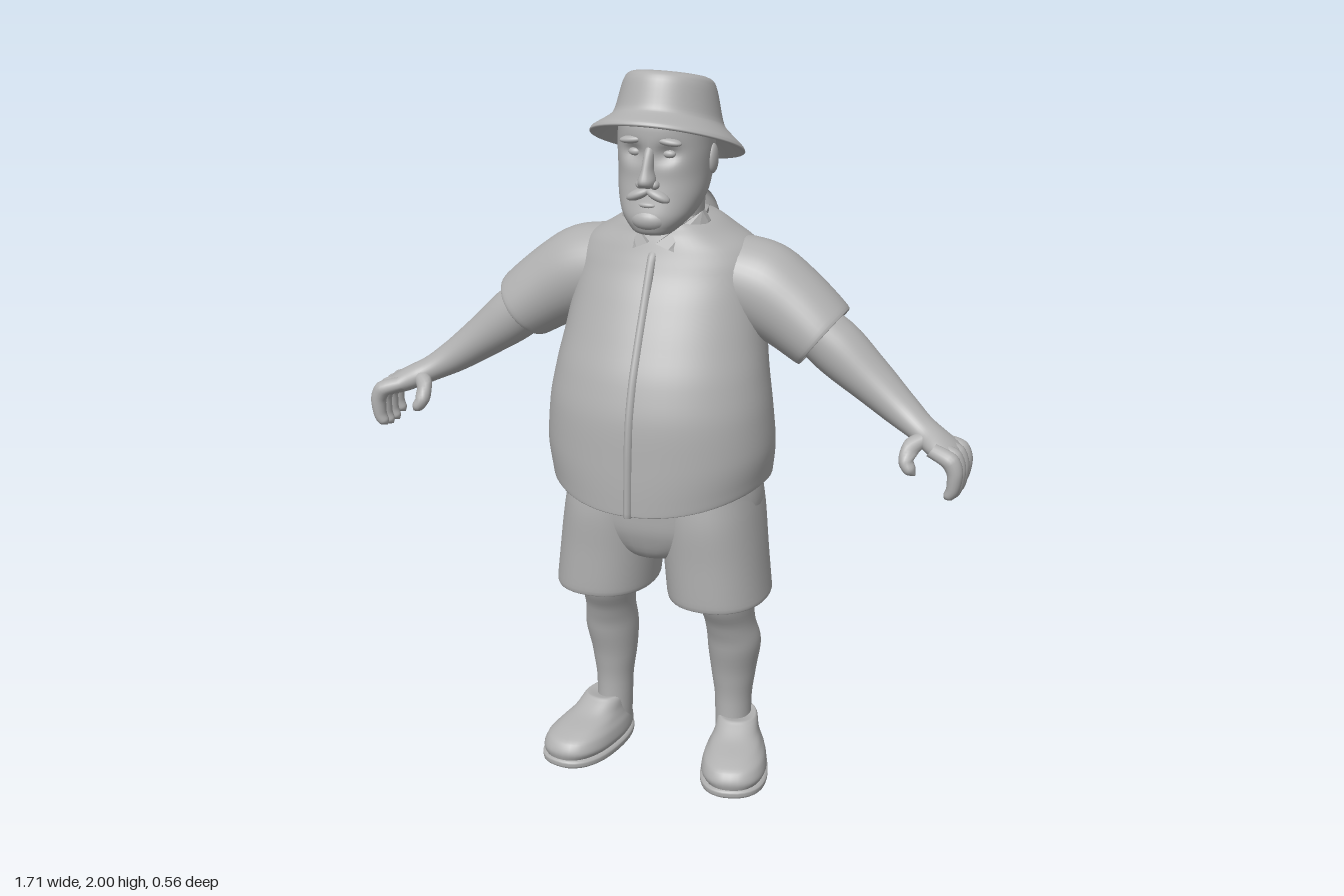
import * as THREE from 'three';

const D = Math.PI / 180;

// Monotone interpolation keeps lofted profiles smooth without overshoot
function sample(rows, k, i, t) {
  const v = j => rows[Math.min(Math.max(j, 0), rows.length - 1)][k];
  const slope = j => {
    const a = v(j) - v(j - 1), b = v(j + 1) - v(j);
    return a * b > 0 ? 2 * a * b / (a + b) : 0;
  };
  const a = v(i), b = v(i + 1), t2 = t * t, t3 = t2 * t;
  return a * (2 * t3 - 3 * t2 + 1) + b * (3 * t2 - 2 * t3) + slope(i) * (t3 - 2 * t2 + t) + slope(i + 1) * (t3 - t2);
}

// Skin over rings [x, y, z, halfWidth, halfDepth, heading = 90, tilt = 0], angles in degrees
function loft(list, { seg = 40, steps = 5, n = 2, warp } = {}) {
  const rows = list.map(r => [...r, ...[90, 0].slice(Math.max(0, r.length - 5))]);
  const pos = [], idx = [], p = new THREE.Vector3();
  const count = (rows.length - 1) * steps;
  const pw = c => Math.sign(c) * Math.abs(c) ** (2 / n);
  for (let r = 0; r <= count; r++) {
    const i = Math.min(Math.floor(r / steps), rows.length - 2), t = r / steps - i;
    const [x, y, z, w, d, h, s] = [0, 1, 2, 3, 4, 5, 6].map(k => sample(rows, k, i, t));
    for (let j = 0; j < seg; j++) {
      const a = j / seg * Math.PI * 2, u = w * pw(Math.cos(a)), v = d * pw(Math.sin(a));
      p.set(x + u * Math.sin(h * D), y - u * Math.cos(h * D) + v * Math.sin(s * D), z + v * Math.cos(s * D));
      if (warp) warp(p);
      pos.push(p.x, p.y, p.z);
      if (r < count) {
        const A = r * seg + j, B = r * seg + (j + 1) % seg;
        idx.push(A, A + seg, B, B, A + seg, B + seg);
      }
    }
  }
  const g = new THREE.BufferGeometry();
  g.setAttribute('position', new THREE.Float32BufferAttribute(pos, 3));
  g.setIndex(idx);
  g.computeVertexNormals();
  return g;
}

function mirrored(geo) {
  const g = geo.index ? geo.toNonIndexed() : geo.clone();
  for (const name of ['position', 'normal']) {
    const a = g.attributes[name];
    for (let i = 0; i < a.count; i += 3) {
      const v = [0, 2, 1].map(k => [-a.getX(i + k), a.getY(i + k), a.getZ(i + k)]);
      v.forEach((q, k) => a.setXYZ(i + k, ...q));
    }
  }
  return g;
}

const blob = (x, y, z, a, b, c, rz = 0) =>
  new THREE.SphereGeometry(1, 24, 16).scale(a, b, c).rotateZ(rz).translate(x, y, z);

export function createModel() {
  const model = new THREE.Group();
  model.name = 'manInHat';
  const grey = new THREE.MeshStandardMaterial({ color: 0xb0b0b0 });
  grey.name = 'grey';
  const add = (name, geo) => {
    const m = new THREE.Mesh(geo, grey);
    m.name = name;
    model.add(m);
  };
  const pair = (name, geo) => {
    add(name + 'Left', geo);
    add(name + 'Right', mirrored(geo));
  };

  // Shirt body: y, half width, front z, back z; the hem dips at the front
  const body = [[0.95, 0.2, 0.15, -0.18], [0.905, 0.285, 0.25, -0.265], [0.9, 0.3, 0.268, -0.28],
    [0.93, 0.307, 0.268, -0.272], [1.0, 0.315, 0.264, -0.25], [1.1, 0.308, 0.255, -0.235], [1.2, 0.293, 0.23, -0.232],
    [1.3, 0.277, 0.188, -0.247], [1.4, 0.266, 0.14, -0.26], [1.48, 0.26, 0.098, -0.255], [1.53, 0.235, 0.077, -0.242],
    [1.57, 0.175, 0.062, -0.225], [1.6, 0.125, 0.05, -0.205], [1.615, 0.08, 0.0, -0.17]];
  add('shirtBody', loft(body.map(([y, w, f, b]) => [0, y, (f + b) / 2, w, (f - b) / 2]), {
    seg: 64, n: 2.1,
    warp: p => {
      if (p.y < 1.05 && p.z > 0) p.y -= 0.048 * Math.min(1, (1.05 - p.y) / 0.15) * (p.z / 0.268) ** 2;
    },
  }));
  // Button strip down the front
  add('placket', loft([[0, 0.845, 0.25, 0, 0], [0, 0.85, 0.262, 0.012, 0.016], [0, 1.0, 0.258, 0.012, 0.016],
    [0, 1.1, 0.249, 0.012, 0.016], [0, 1.2, 0.224, 0.012, 0.016], [0, 1.3, 0.182, 0.012, 0.016],
    [0, 1.4, 0.134, 0.012, 0.016], [0, 1.52, 0.076, 0.012, 0.014], [0, 1.54, 0.06, 0, 0]], { seg: 12 }));
  // Collar band and its two front points
  add('collar', loft([[0, 1.57, -0.065, 0.1, 0.1, 90, -15], [0, 1.618, -0.06, 0.102, 0.122, 90, -16],
    [0, 1.622, -0.06, 0.112, 0.132, 90, -16], [0, 1.59, -0.062, 0.128, 0.146, 90, -16],
    [0, 1.555, -0.07, 0.14, 0.14, 90, -16]]));
  const flap = new THREE.ExtrudeGeometry(new THREE.Shape([[0.012, 1.555], [0.045, 1.54], [0.08, 1.522], [0.105, 1.56],
    [0.122, 1.6], [0.108, 1.63], [0.06, 1.595]].map(q => new THREE.Vector2(...q))), { depth: 0.02, bevelEnabled: false });
  const fp = flap.attributes.position;
  for (let i = 0; i < fp.count; i++) {
    const x = fp.getX(i), y = fp.getY(i);
    fp.setZ(i, fp.getZ(i) + 0.075 - 6 * x * x - (y - 1.53) * 0.35);
  }
  flap.computeVertexNormals();
  pair('collarPoint', flap);

  // Sleeves with a hollow cuff
  pair('sleeve', loft([[0.1, 1.46, -0.085, 0.07, 0.1, -10], [0.18, 1.44, -0.085, 0.115, 0.125, -12],
    [0.26, 1.415, -0.085, 0.125, 0.128, -18], [0.34, 1.37, -0.08, 0.114, 0.122, -30], [0.425, 1.308, -0.072, 0.1, 0.117, -38],
    [0.432, 1.302, -0.072, 0.096, 0.113, -38], [0.424, 1.308, -0.072, 0.088, 0.104, -38], [0.37, 1.35, -0.075, 0.07, 0.08, -38]]));
  // Bare arms down to the palm
  pair('arm', loft([[0.36, 1.355, -0.075, 0.06, 0.075, -38], [0.46, 1.278, -0.08, 0.076, 0.078, -36],
    [0.56, 1.198, -0.075, 0.062, 0.07, -38], [0.66, 1.125, -0.055, 0.046, 0.056, -35], [0.72, 1.09, -0.03, 0.036, 0.052, -32],
    [0.77, 1.067, 0, 0.033, 0.066, -32], [0.815, 1.045, 0.015, 0.024, 0.074, -45], [0.832, 1.028, 0.02, 0, 0, -50]]));
  // Curled fingers
  [-0.035, 0.003, 0.041, 0.076].forEach((z, i) => {
    const up = [0.012, 0, 0, 0.008][i];
    pair('finger' + (i + 1), loft([[0.765, 1.07, z * 0.8, 0.02, 0.02, -35], [0.818, 1.052, z, 0.024, 0.023, -50],
      [0.834, 1.01 + up / 2, z, 0.021, 0.023, -88], [0.83, 0.968 + up, z, 0.018, 0.021, -108],
      [0.818, 0.946 + up, z, 0.014, 0.016, -125], [0.808, 0.938 + up, z, 0, 0, -130]], { seg: 16 }));
  });
  pair('thumb', loft([[0.745, 1.085, 0, 0.018, 0.025, -150], [0.708, 1.065, 0.035, 0.024, 0.027, -125],
    [0.7, 1.035, 0.062, 0.02, 0.024, -85], [0.714, 1.01, 0.07, 0.016, 0.019, -50], [0.728, 0.997, 0.07, 0, 0, -40]], { seg: 16 }));

  // Shorts
  add('shortsSeat', loft([[0, 0.64, -0.02, 0, 0], [0, 0.67, -0.02, 0.1, 0.13], [0, 0.74, -0.02, 0.24, 0.166],
    [0, 0.82, -0.03, 0.275, 0.186], [0, 0.9, -0.03, 0.265, 0.19], [0, 0.98, -0.03, 0.2, 0.15]], { n: 2.2 }));
  pair('shortsLeg', loft([[0.17, 0.64, -0.015, 0.085, 0.11], [0.168, 0.557, -0.015, 0.125, 0.15],
    [0.167, 0.546, -0.015, 0.136, 0.163], [0.165, 0.56, -0.015, 0.14, 0.168], [0.153, 0.68, -0.017, 0.139, 0.172],
    [0.143, 0.8, -0.024, 0.134, 0.182], [0.13, 0.9, -0.03, 0.13, 0.178], [0.13, 0.97, -0.03, 0, 0]], { n: 2.2 }));

  // Legs with knee and calf
  pair('leg', loft([[0.185, 0.05, -0.09, 0.05, 0.06], [0.183, 0.18, -0.092, 0.052, 0.058], [0.183, 0.27, -0.092, 0.063, 0.068],
    [0.187, 0.37, -0.083, 0.075, 0.083], [0.182, 0.44, -0.06, 0.07, 0.082], [0.177, 0.51, -0.038, 0.075, 0.096],
    [0.17, 0.6, -0.02, 0.08, 0.1], [0.17, 0.68, -0.02, 0, 0]]));
  // Shoes, toes turned out
  const place = g => g.rotateY(14 * D).translate(0.222, 0, 0);
  pair('shoe', place(loft([[0, 0.015, 0, 0.075, 0.165], [0, 0.04, 0, 0.09, 0.172], [0, 0.068, -0.005, 0.085, 0.163],
    [0, 0.09, -0.025, 0.074, 0.137], [0, 0.11, -0.057, 0.066, 0.1], [0, 0.135, -0.08, 0.062, 0.077],
    [0, 0.143, -0.085, 0.054, 0.066], [0, 0.13, -0.085, 0, 0]],
  { n: 2.3, warp: p => { p.x *= 1 + p.z * 1.1; } })));
  pair('sole', place(loft([[0, 0, 0, 0, 0], [0, 0, 0, 0.088, 0.17], [0, 0.008, 0, 0.093, 0.175],
    [0, 0.02, 0, 0.093, 0.175], [0, 0.025, 0, 0.08, 0.16]],
  { n: 2.3, steps: 2, warp: p => { p.x *= 1 + p.z * 1.1; } })));

  // Head with eye sockets pressed in
  add('neck', loft([[0, 1.5, -0.06, 0.09, 0.1], [0, 1.6, -0.065, 0.088, 0.095], [0, 1.72, -0.07, 0.095, 0.095]]));
  add('head', loft([[0, 1.575, 0.07, 0, 0], [0, 1.583, 0.065, 0.045, 0.042], [0, 1.605, 0.045, 0.073, 0.078],
    [0, 1.64, 0.015, 0.1, 0.11], [0, 1.69, -0.012, 0.117, 0.124], [0, 1.74, -0.027, 0.122, 0.132], [0, 1.8, -0.031, 0.125, 0.137],
    [0, 1.86, -0.035, 0.125, 0.14], [0, 1.91, -0.04, 0.1, 0.11], [0, 1.94, -0.04, 0, 0]], {
    seg: 64, steps: 8, n: 2.2,
    warp: p => {
      if (p.z > 0) p.z -= 0.022 * Math.exp(-(((Math.abs(p.x) - 0.048) / 0.03) ** 2) - ((p.y - 1.795) / 0.024) ** 2);
    },
  }));
  add('nose', loft([[0, 1.705, 0.1, 0, 0], [0, 1.715, 0.112, 0.023, 0.028], [0, 1.73, 0.116, 0.023, 0.034],
    [0, 1.76, 0.108, 0.015, 0.028], [0, 1.8, 0.096, 0.013, 0.02], [0, 1.83, 0.088, 0, 0]], { seg: 20 }));
  pair('nostril', blob(0.02, 1.718, 0.11, 0.012, 0.012, 0.016));
  pair('eye', blob(0.047, 1.795, 0.077, 0.018, 0.011, 0.012));
  pair('brow', blob(0.05, 1.829, 0.088, 0.036, 0.011, 0.018, -0.12));
  pair('moustache', blob(0.027, 1.69, 0.107, 0.035, 0.014, 0.02, -0.4));
  add('lowerLip', blob(0, 1.664, 0.11, 0.026, 0.009, 0.014));
  add('chinBeard', blob(0, 1.624, 0.09, 0.055, 0.035, 0.043));
  pair('ear', blob(0.124, 1.765, -0.045, 0.013, 0.04, 0.026));

  // Bucket hat, tipped back
  add('hat', loft([[0, 1.87, -0.04, 0.1, 0.12, 90, 20], [0, 1.845, -0.04, 0.13, 0.15, 90, 20],
    [0, 1.798, -0.035, 0.2, 0.217, 90, 22], [0, 1.802, -0.035, 0.205, 0.221, 90, 22], [0, 1.812, -0.035, 0.2, 0.215, 90, 22],
    [0, 1.856, -0.045, 0.147, 0.169, 90, 19], [0, 1.872, -0.048, 0.14, 0.162, 90, 18], [0, 1.945, -0.057, 0.122, 0.141, 90, 17],
    [0, 1.965, -0.06, 0.112, 0.128, 90, 16], [0, 1.975, -0.06, 0.092, 0.105, 90, 15], [0, 1.982, -0.06, 0, 0, 90, 14]], { seg: 56 }));
  return model;
}
